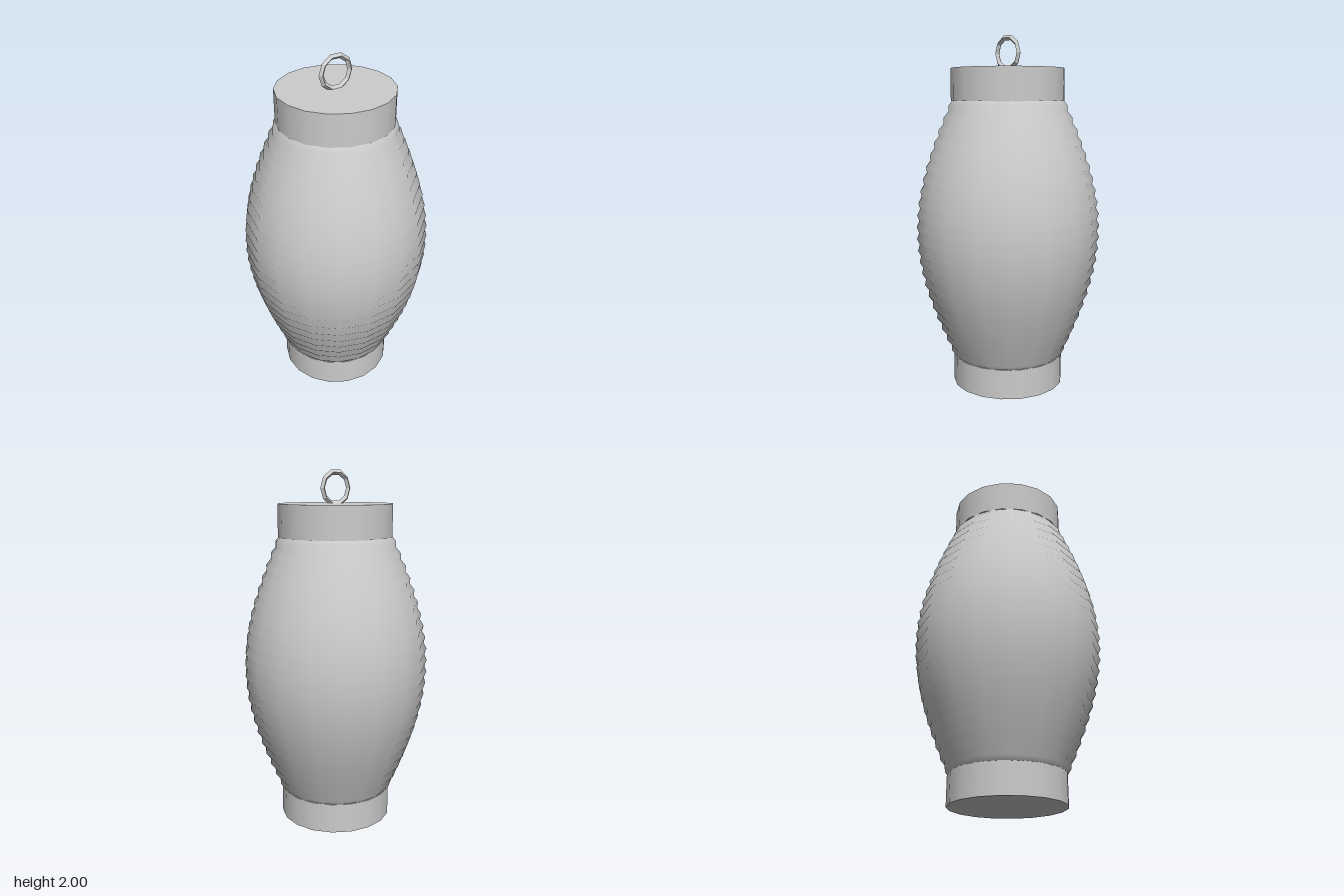
import * as THREE from 'three';

export function createModel() {
  const group = new THREE.Group();
  group.name = 'paperLantern';
  const paper = new THREE.MeshStandardMaterial({ color: 0xcccccc });
  paper.name = 'pale grey';

  const add = (name, geometry, y) => {
    const mesh = new THREE.Mesh(geometry, paper);
    mesh.name = name;
    mesh.position.y = y;
    group.add(mesh);
  };

  // Ribbed barrel body: a sine bulge with a small zigzag of ridges
  const ridges = 22, bottom = 0.16, height = 1.49;
  const profile = [];
  for (let i = 0; i <= ridges * 2; i++) {
    const t = i / (ridges * 2);
    const ridge = i % 2 ? 0.007 : -0.007;
    profile.push(new THREE.Vector2(0.315 + 0.205 * Math.sin(Math.PI * t) + ridge, bottom + height * t));
  }
  add('ribbedBody', new THREE.LatheGeometry(profile, 18, Math.PI / 2), 0);

  // End collars
  add('bottomCollar', new THREE.CylinderGeometry(0.32, 0.32, 0.17, 18), 0.085);
  add('topCollar', new THREE.CylinderGeometry(0.32, 0.32, 0.18, 18), 1.73);

  // Faceted hanging ring with a diamond section
  const ring = new THREE.TorusGeometry(0.087, 0.015, 4, 10).toNonIndexed();
  ring.computeVertexNormals();
  add('hangingRing', ring, 1.903);

  return group;
}
